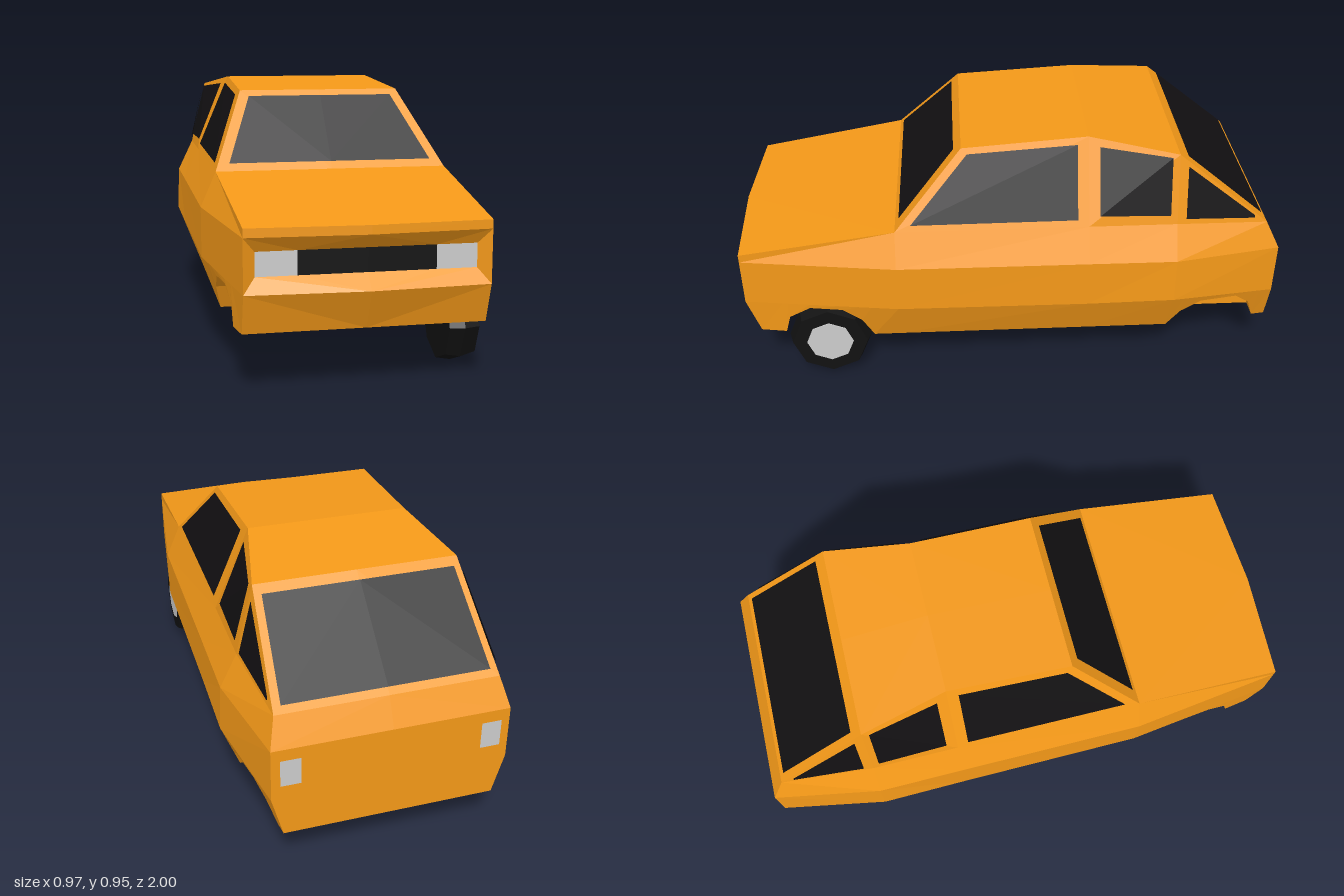
import * as THREE from 'three';

const V = (x, y, z) => new THREE.Vector3(x, y, z);
const mid = (p) => V(0, p.y, p.z);
const paint = (color) => new THREE.MeshStandardMaterial({ color, flatShading: true, side: THREE.DoubleSide });

// Collects four-cornered panels of the left half and mirrors each to the right
class Panels {
  constructor(name, color) {
    this.name = name;
    this.color = color;
    this.points = [];
  }
  quad(a, b, c, d) {
    const flip = (p) => V(-p.x, p.y, p.z);
    this.points.push(a, b, c, a, c, d);
    this.points.push(...[a, c, b, a, d, c].map(flip));
  }
  // Pane laid on the patch a b c d; uv gives its corners within the patch
  pane(a, b, c, d, uv, lift = 0.007) {
    const normal = c.clone().sub(a).cross(d.clone().sub(b)).normalize().multiplyScalar(lift);
    const corners = uv.map(([u, v]) => a.clone().lerp(b, u).lerp(d.clone().lerp(c, u), v).add(normal));
    this.quad(...corners);
  }
  mesh() {
    const geometry = new THREE.BufferGeometry().setFromPoints(this.points);
    geometry.computeVertexNormals();
    const mesh = new THREE.Mesh(geometry, paint(this.color));
    mesh.name = this.name;
    return mesh;
  }
}

// Point on a polyline of points ordered from front to back, at a given z
function along(line, z) {
  let i = 0;
  while (i < line.length - 2 && z < line[i + 1].z) i++;
  const a = line[i], b = line[i + 1];
  return a.clone().lerp(b, THREE.MathUtils.clamp((z - a.z) / (b.z - a.z), 0, 1));
}

export function createModel() {
  const group = new THREE.Group();
  group.name = 'car';
  const body = new Panels('body', 0xf39818);
  const glass = new Panels('windows', 0x121012);
  const floor = new Panels('floor', 0x333333);
  const lamps = new Panels('lamps', 0xcccccc);
  const grille = new Panels('grille', 0x111111);

  // Long lines of the left side, front to back
  const shoulder = [V(0.4, 0.555, 0.98), V(0.42, 0.65, 0.41), V(0.42, 0.65, -0.29), V(0.42, 0.65, -0.61), V(0.385, 0.625, -0.95)];
  const belt = [V(0.4, 0.525, 0.98), V(0.475, 0.525, 0.41), V(0.478, 0.525, -0.29), V(0.48, 0.525, -0.61), V(0.41, 0.525, -1)];
  const sill = [V(0.4, 0.345, 0.98), V(0.475, 0.345, 0.41), V(0.48, 0.345, -0.29), V(0.487, 0.355, -0.61), V(0.41, 0.33, -1)];
  const base = [V(0.4, 0.21, 0.935), V(0.415, 0.21, 0.84), V(0.42, 0.185, 0.51), V(0.42, 0.185, -0.61), V(0.37, 0.185, -1)];
  const roof = [V(0.3, 0.92, 0.165), V(0.292, 0.95, -0.29), V(0.36, 0.905, -0.61)];

  // Side bands above the sill
  for (let i = 0; i < 4; i++) {
    body.quad(sill[i], sill[i + 1], belt[i + 1], belt[i]);
    body.quad(belt[i], belt[i + 1], shoulder[i + 1], shoulder[i]);
  }

  // Lower side with wheel arches, arch tunnels and floor: [z, arch height]
  const columns = [
    [0.935, 0], [0.84, 0], [0.82, 0.28], [0.74, 0.328], [0.62, 0.325], [0.55, 0.27], [0.51, 0],
    [0.41, 0], [-0.29, 0], [-0.605, 0], [-0.65, 0.27], [-0.72, 0.322], [-0.86, 0.322], [-0.92, 0.27], [-0.95, 0], [-1, 0],
  ].map(([z, arch], i) => {
    const low = along(base, z);
    const top = along(sill, i === 0 ? 0.98 : z);
    const edge = arch ? low.clone().lerp(top, (arch - low.y) / (top.y - low.y)) : low;
    return { arch, low, top, edge, tunnel: V(0.305, edge.y, z), foot: V(0.305, low.y, z) };
  });
  for (let i = 0; i < columns.length - 1; i++) {
    const f = columns[i], r = columns[i + 1];
    const inArch = f.arch || r.arch;
    body.quad(f.edge, r.edge, r.top, f.top);
    if (inArch) {
      body.quad(f.tunnel, r.tunnel, r.edge, f.edge);
      body.quad(f.foot, r.foot, r.tunnel, f.tunnel);
    }
    const a = inArch ? f.foot : f.low, b = inArch ? r.foot : r.low;
    floor.quad(mid(f.low), mid(r.low), b, a);
  }

  // Bonnet, windscreen frame, roof, rear window frame and tail
  const noseTop = V(0, 0.555, 1), noseBelt = V(0, 0.525, 1), noseSill = V(0, 0.345, 1);
  body.quad(noseTop, shoulder[0], shoulder[1], mid(shoulder[1]));
  const spine = [shoulder[1], ...roof, shoulder[4], belt[4], sill[4], base[4]];
  for (let i = 0; i < spine.length - 1; i++) {
    body.quad(mid(spine[i]), spine[i], spine[i + 1], mid(spine[i + 1]));
  }

  // Cabin sides with their panes
  const cabin = [
    [shoulder[1], shoulder[2], roof[1], roof[0], [[0.055, 0.08], [0.94, 0.08], [0.915, 0.92], [0.085, 0.92]]],
    [shoulder[2], shoulder[3], roof[2], roof[1], [[0.125, 0.12], [0.92, 0.13], [0.92, 0.94], [0.125, 0.91]]],
    [shoulder[3], shoulder[4], shoulder[4], roof[2], [[0.09, 0.09], [0.85, 0.5], [0.85, 0.75], [0.09, 0.92]]],
  ];
  for (const [a, b, c, d, uv] of cabin) {
    body.quad(a, b, c, d);
    glass.pane(a, b, c, d, uv);
  }
  // Windscreen and rear window
  glass.pane(mid(shoulder[1]), shoulder[1], roof[0], mid(roof[0]), [[0, 0.08], [0.9, 0.08], [0.87, 0.91], [0, 0.91]]);
  glass.pane(mid(roof[2]), roof[2], shoulder[4], mid(shoulder[4]), [[0, 0.09], [0.93, 0.09], [0.93, 0.94], [0, 0.94]]);

  // Nose: lip, recessed surround and bumper
  const at = (x, y) => V(x, y, 0.95);
  body.quad(noseBelt, belt[0], shoulder[0], noseTop);
  body.quad(at(0.225, 0.475), at(0.36, 0.475), belt[0], noseBelt);
  body.quad(at(0, 0.475), at(0.225, 0.475), noseBelt, noseBelt);
  body.quad(noseSill, sill[0], at(0.36, 0.395), at(0.225, 0.395));
  body.quad(noseSill, at(0.225, 0.395), at(0, 0.395), at(0, 0.395));
  body.quad(at(0.36, 0.395), sill[0], belt[0], at(0.36, 0.475));
  body.quad(mid(base[0]), base[0], sill[0], noseSill);
  grille.quad(at(0, 0.395), at(0.225, 0.395), at(0.225, 0.475), at(0, 0.475));
  lamps.quad(at(0.225, 0.395), at(0.36, 0.395), at(0.36, 0.475), at(0.225, 0.475));

  // Tail lamps
  const tail = (x, y) => V(x, y, -1.004);
  lamps.quad(tail(0.38, 0.385), tail(0.31, 0.385), tail(0.31, 0.485), tail(0.38, 0.485));

  for (const part of [body, glass, floor, lamps, grille]) group.add(part.mesh());

  // Front left wheel: eight-sided tyre and hub
  const wheel = new THREE.Group();
  wheel.name = 'frontLeftWheel';
  const profile = [[0, 0.052], [0.148, 0.052], [0.158, 0], [0.142, -0.055], [0, -0.055]];
  const tyre = new THREE.Mesh(
    new THREE.LatheGeometry(profile.map(([r, y]) => new THREE.Vector2(r, y)), 8), paint(0x111111));
  tyre.name = 'tyre';
  const hub = new THREE.Mesh(new THREE.CylinderGeometry(0.088, 0.088, 0.006, 8), paint(0xcccccc));
  hub.name = 'hub';
  hub.position.y = -0.056;
  wheel.add(tyre, hub);
  wheel.rotation.z = Math.PI / 2;
  wheel.position.set(0.367, 0.158, 0.68);
  group.add(wheel);

  return group;
}
